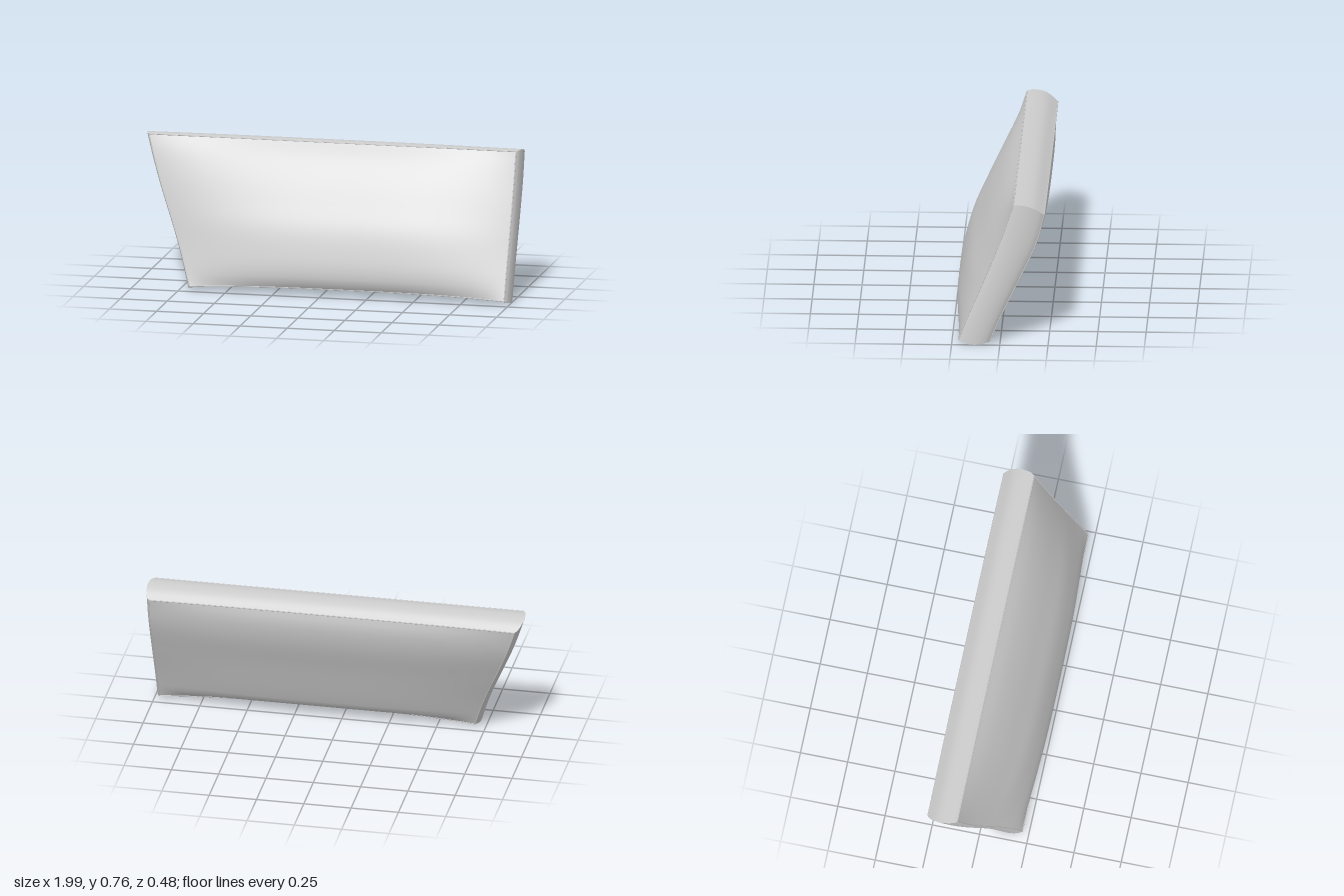
import * as THREE from 'three';

const NU = 48, NV = 24, NW = 12;

// Smooth, evenly spaced (z, y) profile through a few points
const profile = (pts, n) =>
  new THREE.CatmullRomCurve3(pts.map(([z, y]) => new THREE.Vector3(0, y, z)), false, 'centripetal').getSpacedPoints(n);

// Profiles run front seam up, over the top, down the back and under the bottom.
// "end" is the section at the cushion's ends, "mid" the stuffed middle.
const sections = {
  front: {
    n: NV,
    end: [[0.215, 0.02], [0.178, 0.12], [0.102, 0.3], [0.048, 0.43], [-0.01, 0.58], [-0.07, 0.755]],
    mid: [[0.215, 0.04], [0.236, 0.07], [0.24, 0.13], [0.22, 0.235], [0.185, 0.35], [0.128, 0.465],
      [0.062, 0.585], [-0.01, 0.69], [-0.07, 0.755]],
  },
  top: {
    n: NW,
    end: [[-0.07, 0.755], [-0.1, 0.759], [-0.17, 0.745], [-0.23, 0.705]],
    mid: [[-0.07, 0.755], [-0.1, 0.76], [-0.17, 0.75], [-0.232, 0.71]],
  },
  back: {
    n: NV,
    end: [[-0.23, 0.705], [-0.19, 0.555], [-0.108, 0.37], [-0.02, 0.185], [0.055, 0.012]],
    mid: [[-0.232, 0.71], [-0.238, 0.66], [-0.228, 0.59], [-0.2, 0.5], [-0.128, 0.34], [-0.024, 0.105],
      [0.003, 0.06], [0.05, 0.043]],
  },
  bottom: {
    n: NW,
    end: [[0.055, 0.012], [0.12, 0.001], [0.17, 0.004], [0.215, 0.02]],
    mid: [[0.05, 0.043], [0.12, 0.034], [0.17, 0.034], [0.215, 0.04]],
  },
};
for (const s of Object.values(sections)) {
  s.end = profile(s.end, s.n);
  s.mid = profile(s.mid, s.n);
}

// Slanted end on -x, straight end on +x, both slightly rounded across the thickness
const bulge = (w) => 0.022 * Math.pow(Math.max(0, Math.sin(Math.PI * w)), 0.6);
function endX(side, y, w) {
  if (side > 0) return 0.975 + bulge(w);
  const v = y / 0.755;
  return -0.69 - 0.285 * (v - 0.025 * Math.sin(2 * Math.PI * v)) - bulge(w);
}

// Grid surface from a point rule
function grid(nu, nv, rule, flip = false) {
  const pos = [], idx = [];
  for (let j = 0; j <= nv; j++)
    for (let i = 0; i <= nu; i++) pos.push(...rule(i, j));
  for (let j = 0; j < nv; j++)
    for (let i = 0; i < nu; i++) {
      const a = j * (nu + 1) + i, b = a + 1, c = a + nu + 1, d = c + 1;
      if (flip) idx.push(a, c, b, b, c, d);
      else idx.push(a, b, c, b, d, c);
    }
  const g = new THREE.BufferGeometry();
  g.setAttribute('position', new THREE.Float32BufferAttribute(pos, 3));
  g.setIndex(idx);
  g.computeVertexNormals();
  return g;
}

// Point on a lengthwise panel: i along x, j along the profile
function panelPoint(name, i, j) {
  const { end, mid, n } = sections[name];
  const t = Math.sin(Math.PI * (i / NU - 0.5));
  const p = end[j].clone().lerp(mid[j], 1 - Math.abs(t) ** 3);
  const w = name === 'top' || name === 'bottom' ? j / n : 0;
  const x = THREE.MathUtils.lerp(endX(-1, end[j].y, w), endX(1, end[j].y, w), (t + 1) / 2);
  return [x, p.y, p.z];
}

// Point on an end panel: i from front to back, j from bottom to top
function endPoint(side, i, j) {
  const w = i / NW, v = j / NV;
  const f = sections.front.end, b = sections.back.end;
  const p = f[j].clone().lerp(b[NV - j], w);
  const top = sections.top.end[i].clone().sub(f[NV].clone().lerp(b[0], w));
  const low = sections.bottom.end[NW - i].clone().sub(f[0].clone().lerp(b[NV], w));
  p.addScaledVector(top, v).addScaledVector(low, 1 - v);
  return [endX(side, p.y, w), p.y, p.z];
}

export function createModel() {
  const group = new THREE.Group();
  group.name = 'cushion';
  const fabric = new THREE.MeshStandardMaterial({ color: 0xcccccc });
  fabric.name = 'grey fabric';
  const add = (name, geometry) => {
    const mesh = new THREE.Mesh(geometry, fabric);
    mesh.name = name;
    group.add(mesh);
  };

  // Front, top, back and bottom panels
  for (const name of Object.keys(sections))
    add(name + 'Panel', grid(NU, sections[name].n, (i, j) => panelPoint(name, i, j)));

  // End panels
  add('leftEndPanel', grid(NW, NV, (i, j) => endPoint(1, i, j)));
  add('rightEndPanel', grid(NW, NV, (i, j) => endPoint(-1, i, j), true));

  // Thin stitched seams round the front and back panels
  const seam = (name, n, rule) => {
    const pts = Array.from({ length: n + 1 }, (_, k) => new THREE.Vector3(...rule(k)));
    add(name, new THREE.TubeGeometry(new THREE.CatmullRomCurve3(pts), n, 0.003, 6));
  };
  for (const name of ['front', 'back']) {
    for (const j of [0, NV]) seam(name + 'LongSeam', NU, (i) => panelPoint(name, i, j));
    for (const i of [0, NU]) seam(name + 'EndSeam', NV, (j) => panelPoint(name, i, j));
  }
  return group;
}
